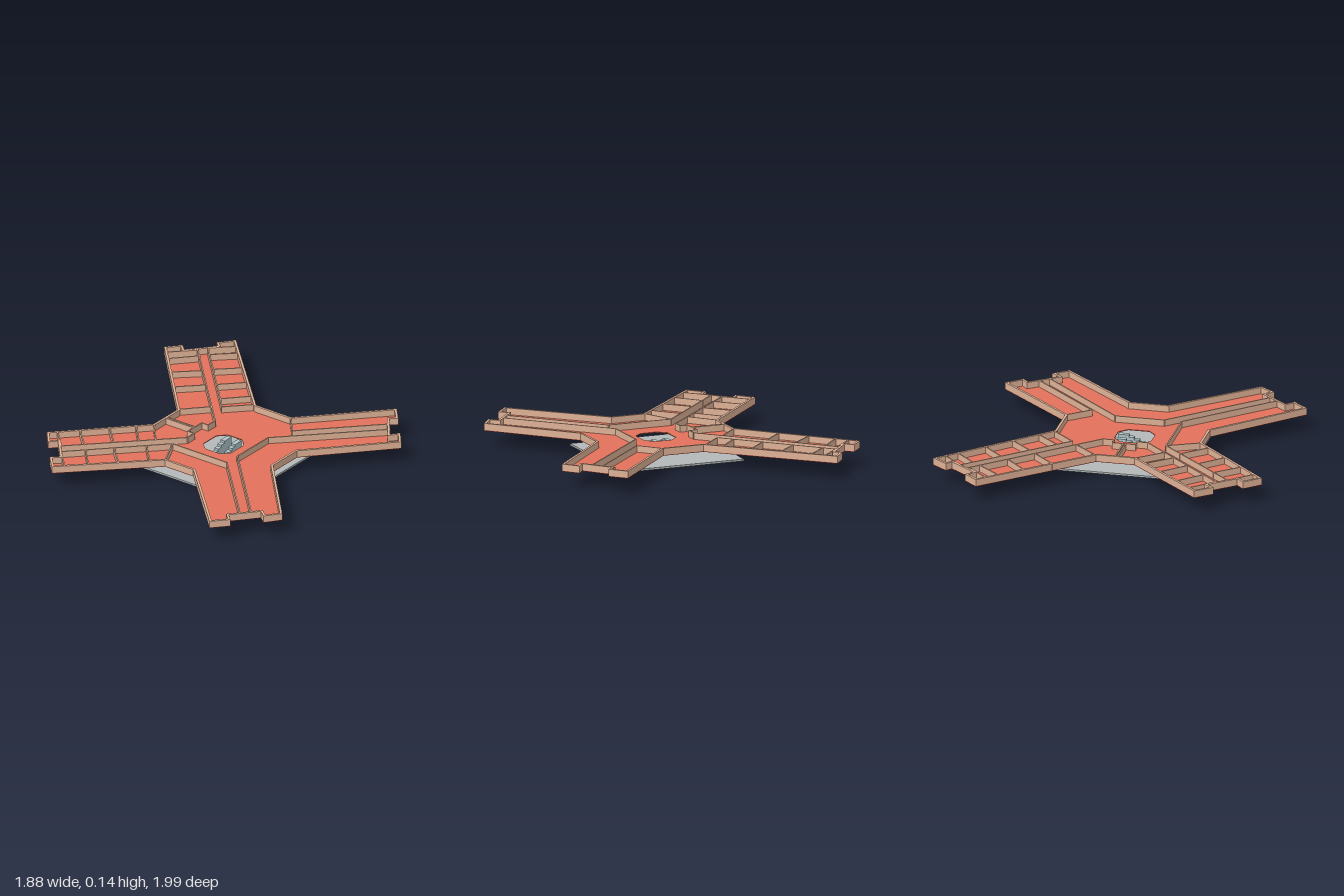
import * as THREE from 'three';

const mat = (color) => new THREE.MeshStandardMaterial({ color });
const V = (p) => new THREE.Vector2(p[0], p[1]);

// Plan outline as [x, z]: four notched arms joined by a central hall
const OUTLINE = [
  [-0.65, -0.995], [-0.04, -0.39], [0.22, -0.39],
  [0.655, -0.86], [0.74, -0.765], [0.70, -0.73], [0.825, -0.57], [0.865, -0.62], [0.94, -0.53],
  [0.515, -0.06], [0.515, 0.175],
  [0.94, 0.645], [0.87, 0.74], [0.82, 0.70], [0.695, 0.85], [0.74, 0.895], [0.655, 0.99],
  [0.17, 0.51], [-0.04, 0.51],
  [-0.525, 0.99], [-0.615, 0.895], [-0.57, 0.85], [-0.70, 0.70], [-0.74, 0.745], [-0.825, 0.645],
  [-0.38, 0.175], [-0.38, -0.06],
  [-0.94, -0.665], [-0.865, -0.75], [-0.82, -0.71], [-0.69, -0.87], [-0.725, -0.90],
];
const HOLE = [
  [0.015, -0.04], [0.12, -0.04], [0.17, 0.01], [0.17, 0.14],
  [0.12, 0.185], [0.015, 0.185], [-0.035, 0.14], [-0.035, 0.01],
];

// Inner wall runs, as polylines of [x, z]
const CORRIDORS = [
  [[-0.72, -0.81], [-0.19, -0.25], [-0.06, -0.385]],
  [[-0.757, -0.757], [-0.113, -0.08], [-0.113, -0.01], [-0.16, -0.01], [-0.16, 0.127],
    [-0.113, 0.127], [-0.113, 0.195], [-0.645, 0.735]],
  [[-0.60, 0.794], [-0.135, 0.312], [0.272, 0.312], [0.736, 0.794]],
  [[0.784, -0.62], [0.272, -0.095], [0.272, 0.206], [0.773, 0.735]],
  [[0.22, -0.386], [0.335, -0.254], [0.736, -0.67]],
];
const PARTITIONS = [
  // back right arm, inner and outer rows
  [[-0.72, -0.81], [-0.605, -0.925]], [[-0.66, -0.75], [-0.535, -0.87]],
  [[-0.525, -0.61], [-0.40, -0.73]], [[-0.39, -0.465], [-0.26, -0.60]], [[-0.26, -0.33], [-0.14, -0.46]],
  [[-0.88, -0.625], [-0.757, -0.75]], [[-0.825, -0.56], [-0.70, -0.70]],
  [[-0.71, -0.425], [-0.575, -0.55]], [[-0.58, -0.28], [-0.44, -0.42]], [[-0.375, -0.07], [-0.245, -0.21]],
  // side rooms next to the hall
  [[-0.375, 0.055], [-0.16, 0.055]], [[-0.375, 0.07], [-0.16, 0.07]],
  // front right arm
  [[-0.37, 0.185], [-0.245, 0.33]], [[-0.446, 0.26], [-0.32, 0.40]],
  [[-0.557, 0.376], [-0.425, 0.51]], [[-0.683, 0.503], [-0.546, 0.64]], [[-0.768, 0.61], [-0.646, 0.735]],
  [[-0.245, 0.423], [-0.12, 0.56]], [[-0.38, 0.566], [-0.245, 0.70]],
  [[-0.50, 0.688], [-0.377, 0.825]], [[-0.60, 0.80], [-0.478, 0.926]],
  [[-0.135, 0.312], [-0.045, 0.503]],
];

// Mitred inward offset of a polygon running clockwise in plan
function inset(points, d) {
  const n = points.length;
  return points.map((p, i) => {
    const a = V(p).sub(V(points[(i + n - 1) % n])).normalize();
    const b = V(points[(i + 1) % n]).sub(V(p)).normalize();
    const na = new THREE.Vector2(-a.y, a.x), nb = new THREE.Vector2(-b.y, b.x);
    const m = na.clone().add(nb).multiplyScalar(d / (1 + na.dot(nb)));
    return [p[0] + m.x, p[1] + m.y];
  });
}

// Flat slab from a plan outline with an optional hole, between two heights
function slab(name, outline, hole, y0, y1, material) {
  const shape = new THREE.Shape(outline.map(V));
  if (hole) shape.holes.push(new THREE.Path(hole.map(V)));
  const geo = new THREE.ExtrudeGeometry(shape, { depth: y1 - y0, bevelEnabled: false });
  geo.rotateX(Math.PI / 2).translate(0, y1, 0);
  const mesh = new THREE.Mesh(geo, material);
  mesh.name = name;
  return mesh;
}

// Straight upright wall between two plan points
function wall(name, a, b, material) {
  const t = 0.008, h = 0.04;
  const dx = b[0] - a[0], dz = b[1] - a[1];
  const mesh = new THREE.Mesh(new THREE.BoxGeometry(Math.hypot(dx, dz) + t, h, t), material);
  mesh.position.set((a[0] + b[0]) / 2, 0.1 + h / 2, (a[1] + b[1]) / 2);
  mesh.rotation.y = -Math.atan2(dz, dx);
  mesh.name = name;
  return mesh;
}

// Narrow solid stair rising towards the back
function stair(x, material) {
  const steps = 6, z0 = 0.19, z1 = 0, y0 = 0.012, y1 = 0.096, back = -0.035;
  const s = new THREE.Shape();
  s.moveTo(-z0, y0);
  for (let i = 0; i < steps; i++) {
    const z = z0 + (z1 - z0) * (i / steps);
    const next = i === steps - 1 ? back : z0 + (z1 - z0) * ((i + 1) / steps);
    const y = y0 + (y1 - y0) * ((i + 1) / steps);
    s.lineTo(-z, y);
    s.lineTo(-next, y);
  }
  s.lineTo(-back, y0);
  const geo = new THREE.ExtrudeGeometry(s, { depth: 0.03, bevelEnabled: false });
  geo.rotateY(Math.PI / 2).translate(x, 0, 0);
  const mesh = new THREE.Mesh(geo, material);
  mesh.name = 'stair';
  return mesh;
}

export function createModel() {
  const model = new THREE.Group();
  model.name = 'crossShapedBuilding';
  const floorMat = mat(0xe2725b), wallMat = mat(0xdeb196);
  const plateMat = mat(0xb4b8b8), stairMat = mat(0xb0c4c8);

  // Ground plate and the two stairs
  const plate = new THREE.Mesh(new THREE.BoxGeometry(0.79, 0.012, 0.79), plateMat);
  plate.position.set(0.065, 0.006, 0.065);
  plate.name = 'groundPlate';
  model.add(plate, stair(0.013, stairMat), stair(0.09, stairMat));

  // Upper floor with stairwell, and its perimeter wall
  model.add(slab('floor', OUTLINE, HOLE, 0.095, 0.1, floorMat));
  model.add(slab('outerWall', OUTLINE, inset(OUTLINE, 0.015), 0.1, 0.14, wallMat));

  // Corridor walls and room partitions
  const inner = new THREE.Group();
  inner.name = 'innerWalls';
  for (const run of CORRIDORS)
    for (let i = 1; i < run.length; i++) inner.add(wall('corridorWall', run[i - 1], run[i], wallMat));
  for (const [a, b] of PARTITIONS) inner.add(wall('partition', a, b, wallMat));
  model.add(inner);
  return model;
}
